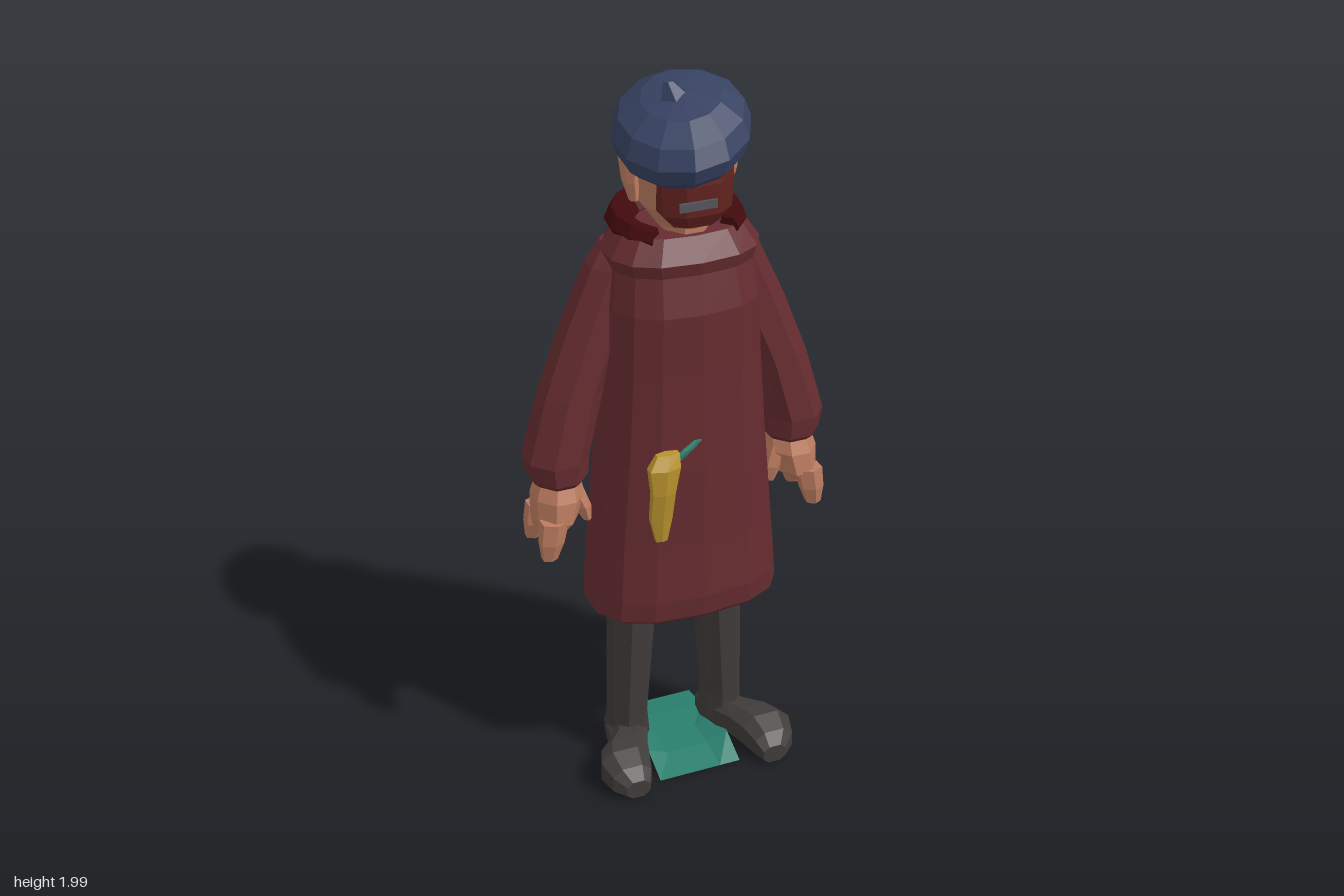
import * as THREE from 'three';

const mat = (name, color, side = THREE.FrontSide) =>
  Object.assign(new THREE.MeshStandardMaterial({ color, side }), { name });

// Ring of points in the xz plane; pow < 1 squares the outline
const flatRing = (x, y, z, rx, rz, n = 10, pow = 1) =>
  Array.from({ length: n }, (_, i) => {
    const a = ((i + 0.5) / n) * Math.PI * 2, c = Math.cos(a), s = Math.sin(a);
    return new THREE.Vector3(
      x + rx * Math.sign(c) * Math.abs(c) ** pow, y, z + rz * Math.sign(s) * Math.abs(s) ** pow);
  });

// Closed faceted skin through a list of rings; side -1 mirrors it in x
function loft(name, material, rings, side = 1) {
  if (side < 0) rings = rings.map(r => r.map(p => new THREE.Vector3(-p.x, p.y, p.z)).reverse());
  const pts = [], n = rings[0].length, last = rings.length - 1;
  const centre = r => r.reduce((s, p) => s.add(p), new THREE.Vector3()).divideScalar(n);
  const c0 = centre(rings[0]), c1 = centre(rings[last]);
  for (let j = 0; j < n; j++) {
    const k = (j + 1) % n;
    pts.push(c0, rings[0][j], rings[0][k], c1, rings[last][k], rings[last][j]);
    for (let i = 0; i < last; i++) {
      const [a, b, c, d] = [rings[i][j], rings[i][k], rings[i + 1][j], rings[i + 1][k]];
      pts.push(a, c, b, b, c, d);
    }
  }
  const geo = new THREE.BufferGeometry().setFromPoints(pts);
  geo.computeVertexNormals();
  const mesh = new THREE.Mesh(geo, material);
  mesh.name = name;
  return mesh;
}

export function createModel() {
  const model = new THREE.Group();
  model.name = 'figure';
  const coat = mat('coat red', 0x662c30), dark = mat('collar dark red', 0x420a0d);
  const hair = mat('beard red', 0x63231f), skin = mat('skin', 0xbd7c60);
  const navy = mat('hat blue', 0x374262), charcoal = mat('trouser charcoal', 0x3f3b3a);
  const green = mat('sheet green', 0x2a7f6d, THREE.DoubleSide);
  const yellow = mat('yellow', 0xb8922c), grey = mat('mouth grey', 0x54545c);
  // Rows are [x, y, z, rx, rz], from low to high
  const add = (name, m, rows, { n = 10, pow = 1, side = 1 } = {}) =>
    model.add(loft(name, m, rows.map(r => flatRing(...r, n, pow)), side));

  // Long coat, hollow at the hem
  add('coat', coat, [
    [0, 0.6, -0.02, 0.22, 0.14], [0, 0.525, -0.01, 0.24, 0.145], [0, 0.54, -0.015, 0.265, 0.165],
    [0, 0.6, -0.02, 0.262, 0.178], [0, 0.75, -0.02, 0.25, 0.172], [0, 1.0, -0.018, 0.228, 0.17],
    [0, 1.25, -0.015, 0.21, 0.16], [0, 1.42, -0.015, 0.205, 0.16], [0, 1.52, -0.02, 0.192, 0.142],
    [0, 1.555, -0.02, 0.205, 0.15], [0, 1.615, -0.02, 0.165, 0.115],
  ], { n: 14, pow: 0.8 });

  // Rolled collar open at the front
  const collar = [];
  for (let i = 0; i <= 12; i++) {
    const t = 2.4 * (1 - i / 6), fall = Math.abs(t) / 2.4, r = 0.05 - 0.022 * fall;
    const nx = Math.sin(t), nz = -Math.cos(t);
    collar.push(Array.from({ length: 6 }, (_, j) => {
      const a = (j / 6) * Math.PI * 2, out = 1 + 0;
      return new THREE.Vector3(
        nx * (0.145 * out + r * Math.cos(a)), 1.62 - 0.01 * fall + r * Math.sin(a),
        -0.035 + nz * (0.135 * out + r * Math.cos(a)));
    }));
  }
  model.add(loft('collar', dark, collar));

  // Neck, head, hair and beard
  add('neck', skin, [[0, 1.58, 0, 0.06, 0.085], [0, 1.67, 0, 0.075, 0.085]], { n: 8 });
  add('head', skin, [
    [0, 1.63, 0.005, 0.075, 0.08], [0, 1.68, 0, 0.112, 0.11], [0, 1.76, 0, 0.125, 0.12],
    [0, 1.86, 0, 0.12, 0.12]]);
  add('hair', hair, [[0, 1.8, 0, 0.127, 0.125], [0, 1.86, 0, 0.127, 0.127]]);
  add('beard', hair, [
    [0, 1.645, 0.07, 0.065, 0.045], [0, 1.68, 0.065, 0.098, 0.07], [0, 1.76, 0.065, 0.103, 0.075],
    [0, 1.84, 0.06, 0.1, 0.07]], { n: 8, pow: 0.85 });
  const mouth = new THREE.Mesh(new THREE.BoxGeometry(0.1, 0.022, 0.008), grey);
  mouth.name = 'mouth';
  mouth.position.set(-0.015, 1.712, 0.136);
  model.add(mouth);

  // Slouched hat, lower at the front and right
  const hatRows = [[1.83, 0.6], [1.81, 0.75], [1.84, 0.93], [1.88, 1], [1.925, 0.9], [1.96, 0.58], [1.975, 0.12]];
  model.add(loft('hat', navy, hatRows.map(([y, s]) =>
    flatRing(-0.018, y, 0.035, 0.168 * s, 0.198 * s, 12).map(p => {
      p.y += 0.2 * (p.x + 0.018) - 0.17 * (p.z - 0.035);
      return p;
    }))));
  add('hatStalk', navy, [[-0.03, 1.95, 0.045, 0.045, 0.035], [-0.052, 2.0, 0.035, 0.012, 0.01]], { n: 5 });

  for (const side of [1, -1]) {
    const o = { side, n: 8 };
    add('ear', skin, [[0.125, 1.69, -0.01, 0.012, 0.015], [0.132, 1.74, -0.015, 0.02, 0.03],
      [0.135, 1.8, -0.02, 0.022, 0.04], [0.128, 1.83, -0.02, 0.012, 0.025]], { side, n: 6 });

    // Sleeve with a gathered cuff
    add('sleeve', coat, [
      [0.332, 0.925, -0.05, 0.06, 0.068], [0.332, 0.945, -0.05, 0.08, 0.09],
      [0.335, 1.0, -0.052, 0.088, 0.096], [0.287, 1.18, -0.055, 0.085, 0.085],
      [0.22, 1.35, -0.06, 0.088, 0.078], [0.16, 1.51, -0.065, 0.075, 0.072],
      [0.14, 1.57, -0.065, 0.055, 0.05]], o);

    // Hand with two long fingers and an inner thumb
    add('palm', skin, [
      [0.365, 0.795, -0.045, 0.035, 0.07], [0.345, 0.83, -0.045, 0.06, 0.085],
      [0.335, 0.89, -0.047, 0.07, 0.082], [0.33, 0.95, -0.05, 0.055, 0.06]], o);
    for (const z of [0.012, -0.105]) {
      add('finger', skin, [[0.382, 0.73, z * 1.1, 0.022, 0.02], [0.375, 0.78, z, 0.035, 0.034],
        [0.365, 0.84, z * 0.95, 0.04, 0.035]], { side, n: 6 });
    }
    add('thumb', skin, [[0.265, 0.81, -0.02, 0.013, 0.02], [0.275, 0.85, -0.025, 0.025, 0.03],
      [0.3, 0.91, -0.035, 0.03, 0.035]], { side, n: 6 });

    // Trouser leg
    add('leg', charcoal, [[0.14, 0.06, -0.065, 0.06, 0.075], [0.142, 0.14, -0.062, 0.054, 0.075],
      [0.125, 0.52, -0.058, 0.067, 0.08], [0.125, 0.61, -0.058, 0.065, 0.08]], o);

    // Splayed shoe, toe to heel: x, z, half width, height
    const shoe = [
      [0.205, 0.18, 0.035, 0.055], [0.213, 0.155, 0.06, 0.09], [0.212, 0.1, 0.075, 0.113],
      [0.195, 0.05, 0.072, 0.115], [0.16, 0, 0.058, 0.11], [0.143, -0.08, 0.058, 0.09],
      [0.14, -0.135, 0.045, 0.07]];
    model.add(loft('shoe', charcoal, shoe.map(([x, z, w, h]) =>
      flatRing(x, 0, 0, w, h / 2, 8, 0.75).map(p => new THREE.Vector3(p.x, p.z + 0.012 + h / 2, z))), side));
  }

  // Yellow pocket ornament with a teal stem
  add('pocketOrnament', yellow, [
    [-0.122, 0.8, 0.148, 0.018, 0.012], [-0.125, 0.87, 0.153, 0.034, 0.018],
    [-0.122, 0.95, 0.163, 0.036, 0.022], [-0.118, 1.02, 0.16, 0.048, 0.026],
    [-0.105, 1.055, 0.152, 0.035, 0.015]], { n: 6 });
  add('ornamentStem', green, [[-0.08, 1.03, 0.153, 0.014, 0.01], [-0.05, 1.055, 0.153, 0.016, 0.01],
    [-0.02, 1.075, 0.15, 0.012, 0.008]], { n: 5 });

  // Creased sheet lying under the feet
  let sheet = new THREE.PlaneGeometry(0.24, 0.36, 4, 4).rotateX(-Math.PI / 2).translate(0, 0, -0.05);
  const p = sheet.attributes.position;
  for (let i = 0; i < p.count; i++) {
    const x = p.getX(i), z = p.getZ(i), edge = Math.abs(x) > 0.1;
    p.setY(i, z < -0.2 ? 0.012 : edge && Math.abs(z) < 0.1 ? 0.05 : z > 0.1 ? 0.008 : 0.025);
  }
  sheet = sheet.toNonIndexed();
  sheet.computeVertexNormals();
  const sheetMesh = new THREE.Mesh(sheet, green);
  sheetMesh.name = 'groundSheet';
  model.add(sheetMesh);

  return model;
}
